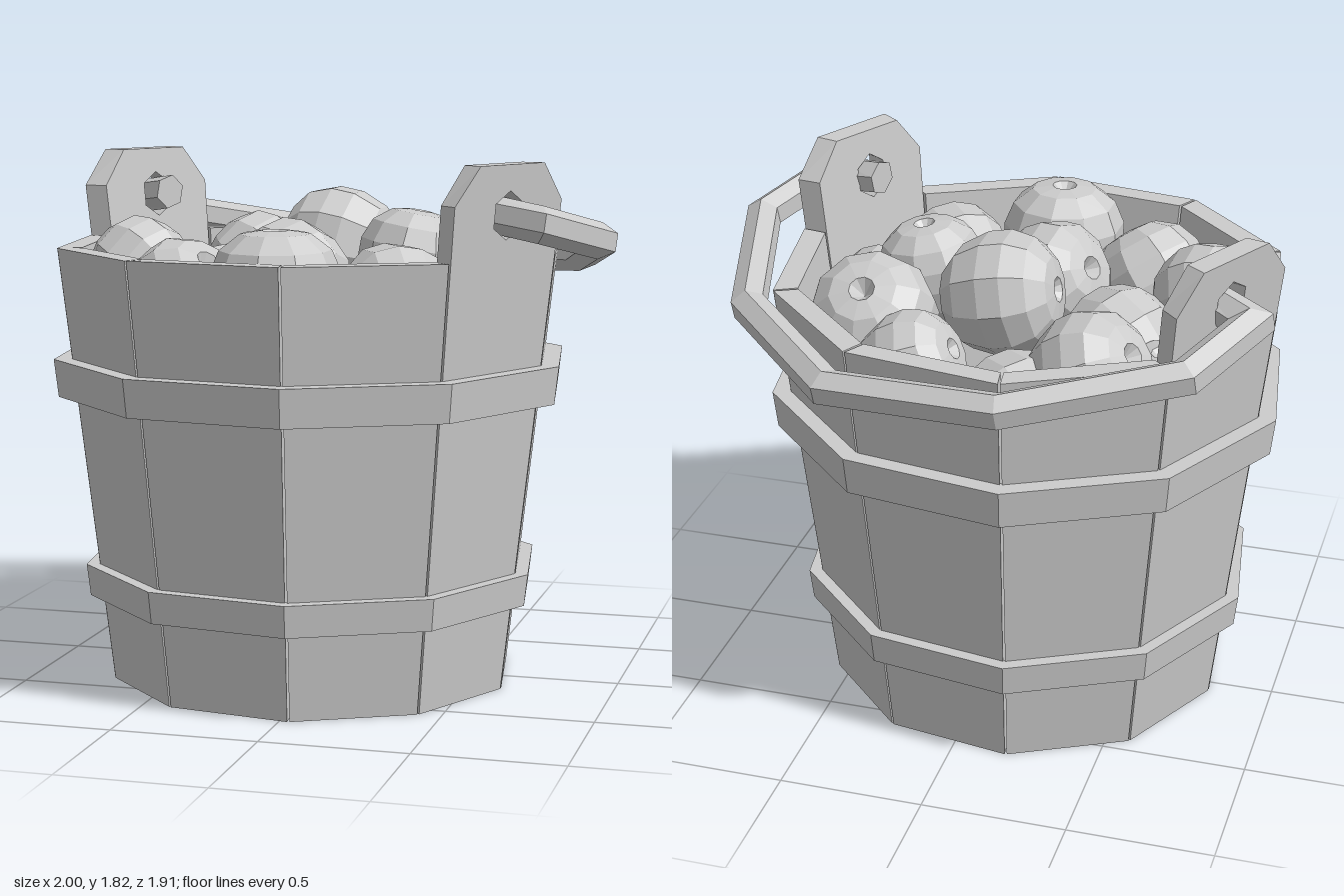
import * as THREE from 'three';

const SIDES = 10, CX = -0.08, CZ = 0.06;
const STEP = (Math.PI * 2) / SIDES;
const EAR_ANGLE = THREE.MathUtils.degToRad(27); // from +x towards +z
const PHI = Math.PI / 2 - EAR_ANGLE + STEP / 2; // corner alignment of hoops and base
const RIM = 1.51, THICK = 0.08;
const radius = (y) => 0.71 + (0.177 * y) / RIM;

const material = new THREE.MeshStandardMaterial({ color: 0xcccccc, flatShading: true });

function add(parent, name, geometry) {
  const mesh = new THREE.Mesh(geometry, material);
  mesh.name = name;
  parent.add(mesh);
  return mesh;
}

// One tapered board; the ear boards rise above the rim and carry a hole for the handle
function staveGeometry(isEar) {
  const half = (y) => radius(y) * Math.sin(STEP / 2) - 0.004;
  const right = isEar
    ? [[half(0), 0], [half(RIM), RIM], [half(1.69), 1.69], [0.165, 1.815]]
    : [[half(0), 0], [half(RIM), RIM]];
  const left = right.map(([x, y]) => [-x, y]).reverse();
  const shape = new THREE.Shape([...right, ...left].map(([x, y]) => new THREE.Vector2(x, y)));
  if (isEar) {
    const hole = [];
    for (let i = 0; i < 6; i++) {
      const a = (-i * Math.PI) / 3 + Math.PI / 2;
      hole.push(new THREE.Vector2(0.08 * Math.cos(a), 1.65 + 0.08 * Math.sin(a)));
    }
    shape.holes.push(new THREE.Path(hole));
  }
  const geo = new THREE.ExtrudeGeometry(shape, { depth: THICK, bevelEnabled: false });
  // Mitre the inner face and lean the board outwards
  const p = geo.attributes.position;
  for (let i = 0; i < p.count; i++) {
    const y = p.getY(i), z = p.getZ(i);
    if (z < THICK / 2) p.setX(i, p.getX(i) * 0.9);
    p.setZ(i, radius(y) * Math.cos(STEP / 2) + z - THICK);
  }
  geo.computeVertexNormals();
  return geo;
}

// Band with a rectangular section that follows the slope of the boards
function hoopGeometry(y0, y1, out) {
  const pts = [
    [radius(y0) + out, y0], [radius(y1) + out, y1],
    [radius(y1) - 0.01, y1], [radius(y0) - 0.01, y0], [radius(y0) + out, y0],
  ].map(([x, y]) => new THREE.Vector2(x, y));
  return new THREE.LatheGeometry(pts, SIDES, PHI);
}

// Hexagonal rod with mitred corners along a path; the third coordinate lifts a point
function rodGeometry(path, r) {
  const pts = path.map(([x, y]) => new THREE.Vector2(x, y));
  const n = pts.length, pos = [], idx = [];
  const dir = (i) => pts[i + 1].clone().sub(pts[i]).normalize();
  for (let i = 0; i < n; i++) {
    const a = dir(Math.max(i - 1, 0)), b = dir(Math.min(i, n - 2));
    const t = a.clone().add(b).normalize();
    const stretch = 1 / t.dot(a);
    for (let j = 0; j < 6; j++) {
      const q = Math.PI / 6 + (j * Math.PI) / 3;
      const c = r * Math.cos(q) * stretch;
      pos.push(pts[i].x + t.y * c, pts[i].y - t.x * c, path[i][2] + r * Math.sin(q));
    }
  }
  for (let i = 0; i < n - 1; i++) {
    for (let j = 0; j < 6; j++) {
      const a = i * 6 + j, b = i * 6 + ((j + 1) % 6);
      idx.push(a, a + 6, b, b, a + 6, b + 6);
    }
  }
  const e = (n - 1) * 6;
  for (let j = 1; j < 5; j++) idx.push(0, j, j + 1, e, e + j + 1, e + j);
  const geo = new THREE.BufferGeometry();
  geo.setAttribute('position', new THREE.Float32BufferAttribute(pos, 3));
  geo.setIndex(idx);
  geo.computeVertexNormals();
  return geo;
}

// Apple of unit radius with a dimple at each end
function appleGeometry() {
  const profile = [
    [0, -0.72], [0.17, -0.9], [0.5, -0.84], [0.82, -0.55], [0.98, -0.1],
    [0.98, 0.28], [0.83, 0.64], [0.52, 0.88], [0.2, 0.93], [0, 0.7],
  ].map(([x, y]) => new THREE.Vector2(x, y));
  return new THREE.LatheGeometry(profile, 10);
}

// Apples: x, y, z, radius, lean of the dimple along x and z
const APPLES = [
  [-0.17, 1.23, -0.48, 0.215, -0.7, 0.7],
  [-0.40, 1.37, -0.39, 0.21, -0.8, -0.22],
  [0.20, 1.34, -0.43, 0.185, -0.88, 0.0],
  [0.40, 1.38, -0.20, 0.225, 0.0, -0.6],
  [-0.02, 1.485, -0.10, 0.218, -0.98, 0.0],
  [-0.62, 1.2, -0.18, 0.205, 0.08, -0.1],
  [-0.40, 1.28, 0.01, 0.215, -0.6, 0.75],
  [0.28, 1.46, 0.09, 0.19, 0.17, -0.05],
  [0.50, 1.32, 0.11, 0.175, -0.75, 0.1],
  [-0.65, 1.42, 0.22, 0.182, -0.84, -0.26],
  [-0.10, 1.4, 0.25, 0.207, -0.84, -0.3],
  [-0.42, 1.34, 0.47, 0.21, 0.58, 0.3],
  [0.32, 1.34, 0.43, 0.215, -0.8, 0.58],
  [-0.045, 1.395, 0.63, 0.222, 0.0, 0.02],
];

export function createModel() {
  const model = new THREE.Group();
  model.name = 'bucketOfApples';

  const bucket = new THREE.Group();
  bucket.name = 'bucket';
  bucket.position.set(CX, 0, CZ);
  model.add(bucket);

  // Ten boards, two opposite ones with ears
  const plain = staveGeometry(false), ear = staveGeometry(true);
  for (let i = 0; i < SIDES; i++) {
    const isEar = i % (SIDES / 2) === 0;
    const stave = add(bucket, isEar ? 'earStave' : 'stave', isEar ? ear : plain);
    stave.rotation.y = Math.PI / 2 - EAR_ANGLE - i * STEP;
  }

  add(bucket, 'lowerHoop', hoopGeometry(0.3, 0.41, 0.045));
  add(bucket, 'upperHoop', hoopGeometry(1.0, 1.13, 0.062));

  // Recessed floor
  const base = add(bucket, 'base', new THREE.CylinderGeometry(0.645, 0.64, 0.05, SIDES, 1, false, PHI));
  base.position.y = 0.07;

  // Handle through both ears, resting towards the back
  const half = [[0.72, 0, 0.03], [0.968, 0.03, 0], [0.968, 0.36, 0], [0.575, 0.8, 0]];
  const path = [...half, [0, 0.995, 0], ...half.map(([x, y, z]) => [-x, y, z]).reverse()];
  const handle = add(bucket, 'handle', rodGeometry(path, 0.062));
  const c = Math.cos(EAR_ANGLE), s = Math.sin(EAR_ANGLE);
  const xAxis = new THREE.Vector3(c, 0, s);
  const yAxis = new THREE.Vector3(s, -0.22, -c).normalize();
  const zAxis = xAxis.clone().cross(yAxis);
  handle.quaternion.setFromRotationMatrix(new THREE.Matrix4().makeBasis(xAxis, yAxis, zAxis));
  handle.position.y = 1.63;

  // Heap of apples
  const apples = new THREE.Group();
  apples.name = 'apples';
  model.add(apples);
  const appleGeo = appleGeometry();
  const up = new THREE.Vector3(0, 1, 0);
  for (const [x, y, z, r, dx, dz] of APPLES) {
    const apple = add(apples, 'apple', appleGeo);
    const dir = new THREE.Vector3(dx, Math.sqrt(Math.max(0, 1 - dx * dx - dz * dz)), dz).normalize();
    apple.quaternion.setFromUnitVectors(up, dir);
    apple.position.set(x, y, z);
    apple.scale.setScalar(r);
  }

  return model;
}
